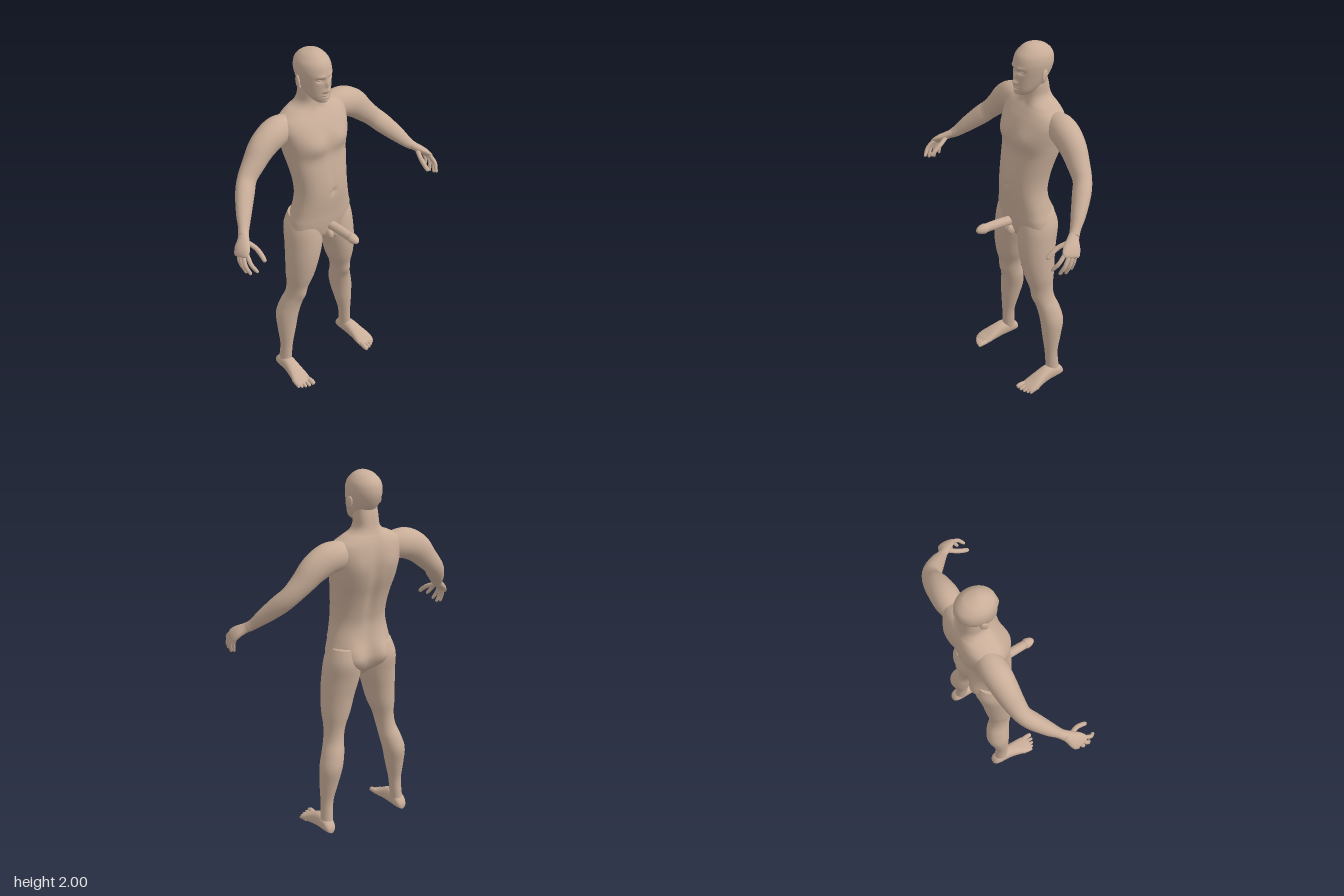
import * as THREE from 'three';

const V = (x, y, z) => new THREE.Vector3(x, y, z);
const skin = new THREE.MeshStandardMaterial({ color: 0xc9ae99 });
skin.name = 'skin';

// Smoothly interpolate rows of numbers, adding steps between neighbours
function smoothRows(rows, steps) {
  const out = [];
  const at = (i) => rows[Math.max(0, Math.min(rows.length - 1, i))];
  for (let i = 0; i < rows.length - 1; i++) {
    for (let s = 0; s < steps; s++) {
      const t = s / steps;
      out.push(rows[i].map((b, k) => {
        const a = at(i - 1)[k], c = at(i + 1)[k], d = at(i + 2)[k];
        return b + 0.5 * t * (c - a + t * (2 * a - 5 * b + 4 * c - d + t * (3 * (b - c) + d - a)));
      }));
    }
  }
  out.push(rows[rows.length - 1]);
  return out;
}

// Closed skin over rings { c, u, v }, where u x v points along the loft
function loft(rings, segs, power = 2) {
  const pos = [], idx = [];
  const bend = (w) => Math.sign(w) * Math.abs(w) ** (2 / power);
  for (const { c, u, v } of rings) {
    for (let j = 0; j < segs; j++) {
      const a = (j / segs) * Math.PI * 2;
      const p = c.clone().addScaledVector(u, bend(Math.cos(a))).addScaledVector(v, bend(Math.sin(a)));
      pos.push(p.x, p.y, p.z);
    }
  }
  const last = (rings.length - 1) * segs, first = rings[0].c, end = rings[rings.length - 1].c;
  pos.push(first.x, first.y, first.z, end.x, end.y, end.z);
  for (let j = 0; j < segs; j++) {
    const k = (j + 1) % segs;
    for (let r = 0; r < last; r += segs) {
      idx.push(r + j, r + k, r + segs + k, r + j, r + segs + k, r + segs + j);
    }
    idx.push(last + segs, k, j, last + segs + 1, last + j, last + k);
  }
  const g = new THREE.BufferGeometry();
  g.setAttribute('position', new THREE.Float32BufferAttribute(pos, 3));
  g.setIndex(idx);
  g.computeVertexNormals();
  return g;
}

// Upright form from rows [y, centre x, half width, front z, back z]
function column(rows, segs, steps, power) {
  return loft(smoothRows(rows, steps).map(([y, x, w, f, b]) => (
    { c: V(x, y, (f + b) / 2), u: V(w, 0, 0), v: V(0, 0, (b - f) / 2) })), segs, power);
}

// Limb from rows [x, y, z, radius along ref, radius across ref]
function limb(rows, ref, segs = 20, steps = 5) {
  const r = smoothRows(rows, steps), p = r.map((q) => V(q[0], q[1], q[2]));
  return loft(p.map((c, i) => {
    const t = p[Math.min(i + 1, p.length - 1)].clone().sub(p[Math.max(i - 1, 0)]).normalize();
    const u = ref.clone().addScaledVector(t, -ref.dot(t)).normalize();
    const v = t.clone().cross(u);
    return { c, u: u.multiplyScalar(r[i][3]), v: v.multiplyScalar(r[i][4]) };
  }), segs);
}

// Finger or toe with a rounded tip
function digit(points, r, ref) {
  const n = points.length, a = points[n - 2], b = points[n - 1];
  const mix = (t) => a.map((w, k) => w + (b[k] - w) * t);
  return limb([...points.slice(0, n - 1).map((q) => [...q, r, r]), [...mix(0.75), r * 0.85, r * 0.85],
    [...mix(0.93), r * 0.6, r * 0.6], [...b, r * 0.12, r * 0.12]], ref, 12, 4);
}

// Raise or sink soft spots [x, y, size x, size y, dz] on the front or back
function sculpt(g, mid, front, back = []) {
  const p = g.attributes.position;
  for (let i = 0; i < p.count; i++) {
    const x = Math.abs(p.getX(i)), y = p.getY(i), z = p.getZ(i);
    const side = THREE.MathUtils.clamp(Math.abs(z - mid) / 0.05, 0, 1);
    let dz = 0;
    for (const [bx, by, sx, sy, d] of z > mid ? front : back) {
      dz += d * Math.exp(-(((x - bx) / sx) ** 2) - ((y - by) / sy) ** 2);
    }
    p.setZ(i, z + dz * side);
  }
  g.computeVertexNormals();
  return g;
}

function mirrored(g) {
  const m = g.clone().scale(-1, 1, 1), a = m.index.array;
  for (let i = 0; i < a.length; i += 3) [a[i], a[i + 1]] = [a[i + 1], a[i]];
  m.computeVertexNormals();
  return m;
}

const ball = (x, y, z, rx, ry, rz) => new THREE.SphereGeometry(1, 24, 16).scale(rx, ry, rz).translate(x, y, z);

export function createModel() {
  const model = new THREE.Group();
  model.name = 'figure';
  const add = (name, g) => {
    const m = new THREE.Mesh(g, skin);
    m.name = name;
    model.add(m);
  };
  const pair = (name, g) => {
    add('left' + name, g);
    add('right' + name, mirrored(g));
  };

  // Torso and neck, with chest, navel, shoulder blades, spine and buttocks
  add('torso', sculpt(column([
    [0.9, 0, 0.05, 0, -0.1], [0.95, 0, 0.14, 0.03, -0.14], [1, 0, 0.188, 0.04, -0.155],
    [1.05, 0, 0.189, 0.046, -0.155], [1.1, 0, 0.176, 0.05, -0.153], [1.2, 0, 0.155, 0.059, -0.15],
    [1.28, 0, 0.153, 0.056, -0.165], [1.36, 0, 0.163, 0.044, -0.187], [1.44, 0, 0.177, 0.03, -0.215],
    [1.5, 0, 0.187, 0.027, -0.228], [1.56, 0, 0.197, 0.02, -0.234], [1.61, 0, 0.2, 0, -0.231],
    [1.65, 0, 0.183, -0.025, -0.222], [1.68, 0, 0.135, -0.045, -0.21], [1.7, 0, 0.09, -0.052, -0.2],
    [1.73, 0, 0.066, -0.057, -0.19], [1.78, 0, 0.062, -0.06, -0.18], [1.82, 0, 0.058, -0.065, -0.17],
  ], 72, 6, 2.3), -0.09,
  [[0.085, 1.515, 0.07, 0.055, 0.02], [0, 1.23, 0.014, 0.012, -0.014], [0, 1.35, 0.012, 0.12, -0.004],
    [0, 1.7, 0.015, 0.02, -0.008]],
  [[0.08, 1.02, 0.065, 0.085, -0.042], [0, 1.4, 0.025, 0.22, 0.014], [0.1, 1.53, 0.05, 0.07, -0.01]]));

  // Head with brow, sockets, nose, lips and chin
  add('head', sculpt(column([
    [1.74, 0, 0.025, -0.012, -0.06], [1.75, 0, 0.04, 0, -0.085], [1.77, 0, 0.056, 0.004, -0.12],
    [1.8, 0, 0.068, 0.005, -0.16], [1.84, 0, 0.078, 0.005, -0.19], [1.88, 0, 0.085, 0.006, -0.207],
    [1.915, 0, 0.086, 0.003, -0.21], [1.95, 0, 0.077, -0.01, -0.2], [1.98, 0, 0.053, -0.04, -0.168],
    [1.994, 0, 0.028, -0.065, -0.13], [2, 0, 0.004, -0.09, -0.1],
  ], 96, 8), -0.1,
  [[0.03, 1.893, 0.022, 0.009, 0.006], [0.032, 1.872, 0.016, 0.01, -0.013], [0, 1.845, 0.009, 0.025, 0.012],
    [0, 1.813, 0.011, 0.011, 0.016], [0.014, 1.809, 0.008, 0.008, 0.007], [0, 1.786, 0.022, 0.005, 0.007],
    [0, 1.779, 0.024, 0.003, -0.005], [0, 1.772, 0.019, 0.005, 0.006], [0, 1.75, 0.018, 0.01, 0.006]]));
  pair('Eye', ball(0.032, 1.872, -0.02, 0.012, 0.009, 0.011));
  const ear = ball(0, 0, 0, 0.009, 0.034, 0.02).rotateX(-0.2).rotateY(0.3).translate(0.09, 1.85, -0.11);
  pair('Ear', ear);
  pair('EarLobe', ball(0.088, 1.823, -0.1, 0.007, 0.011, 0.01));

  // Arms, from inside the shoulder to the wrist
  const ahead = V(0, 0, 1);
  pair('Arm', limb([
    [0.12, 1.6, -0.14, 0.05, 0.06], [0.18, 1.6, -0.14, 0.068, 0.076], [0.24, 1.59, -0.137, 0.072, 0.08],
    [0.31, 1.55, -0.133, 0.066, 0.075], [0.37, 1.49, -0.125, 0.057, 0.062], [0.43, 1.43, -0.11, 0.047, 0.053],
    [0.475, 1.38, -0.075, 0.046, 0.052], [0.53, 1.315, -0.02, 0.037, 0.042], [0.565, 1.27, 0.02, 0.027, 0.031],
    [0.59, 1.245, 0.045, 0.026, 0.024],
  ], ahead, 28));

  // Hands: palm, four curled fingers and thumb
  pair('Palm', limb([
    [0.575, 1.26, 0.03, 0.024, 0.024], [0.6, 1.238, 0.058, 0.031, 0.022], [0.63, 1.215, 0.085, 0.044, 0.02],
    [0.649, 1.193, 0.104, 0.046, 0.016], [0.653, 1.182, 0.11, 0.032, 0.008],
  ], ahead));
  [
    [[0.638, 1.205, 0.13], [0.645, 1.168, 0.168], [0.628, 1.125, 0.2]],
    [[0.648, 1.2, 0.112], [0.66, 1.152, 0.142], [0.645, 1.1, 0.166]],
    [[0.65, 1.197, 0.092], [0.66, 1.147, 0.115], [0.647, 1.092, 0.132]],
    [[0.645, 1.197, 0.072], [0.655, 1.155, 0.086], [0.648, 1.105, 0.098]],
  ].forEach((f, i) => pair('Finger' + (i + 1), digit(f, i === 3 ? 0.009 : 0.0108, V(1, 0, 0))));
  pair('Thumb', digit([[0.6, 1.232, 0.07], [0.577, 1.207, 0.122], [0.572, 1.182, 0.158], [0.572, 1.155, 0.19]],
    0.0125, V(1, 0, 0)));

  // Legs from ankle to hip, with kneecap
  pair('Leg', sculpt(column([
    [0.04, 0.235, 0.034, -0.06, -0.14], [0.12, 0.228, 0.033, -0.058, -0.133], [0.2, 0.223, 0.036, -0.055, -0.13],
    [0.3, 0.214, 0.051, -0.047, -0.15], [0.4, 0.203, 0.062, -0.04, -0.17], [0.48, 0.184, 0.06, -0.03, -0.158],
    [0.55, 0.167, 0.053, -0.013, -0.135], [0.62, 0.156, 0.057, 0.002, -0.13], [0.7, 0.143, 0.076, 0.025, -0.14],
    [0.8, 0.129, 0.089, 0.042, -0.15], [0.9, 0.113, 0.1, 0.045, -0.165], [1, 0.108, 0.095, 0.035, -0.18],
    [1.08, 0.1, 0.075, 0.015, -0.16],
  ], 36, 6), -0.07, [[0.163, 0.57, 0.028, 0.035, 0.009]]));

  // Feet, from rows of z, centre x, half width and top
  const foot = smoothRows([
    [-0.16, 0.235, 0.012, 0.045], [-0.15, 0.235, 0.026, 0.065], [-0.12, 0.235, 0.035, 0.09],
    [-0.06, 0.237, 0.037, 0.1], [0, 0.242, 0.043, 0.078], [0.05, 0.247, 0.051, 0.05],
    [0.08, 0.247, 0.047, 0.034], [0.092, 0.244, 0.038, 0.026],
  ], 5).map(([z, x, w, top]) => {
    const low = THREE.MathUtils.clamp(0.008 - z * 0.08, 0.004, 0.02);
    return { c: V(x, (top + low) / 2, z), u: V(w, 0, 0), v: V(0, (top - low) / 2, 0) };
  });
  pair('Foot', loft(foot, 28, 2.4));
  [[0.21, 0.128, 0.0145], [0.235, 0.123, 0.01], [0.256, 0.114, 0.0095], [0.274, 0.103, 0.009], [0.289, 0.09, 0.0085]]
    .forEach(([x, z, r], i) => pair('Toe' + (i + 1),
      digit([[x * 0.9 + 0.024, 0.02, z - 0.06], [x, 0.019, z - 0.025], [x, r, z]], r, V(1, 0, 0))));

  // Anatomy
  add('genitalShaft', limb([
    [0, 1, 0.01, 0.026, 0.026], [0, 1.002, 0.06, 0.025, 0.025], [0, 1.005, 0.13, 0.025, 0.025],
    [0, 1.005, 0.185, 0.024, 0.024], [0, 1.005, 0.197, 0.028, 0.027], [0, 1.004, 0.22, 0.024, 0.022],
    [0, 1.003, 0.238, 0.014, 0.013], [0, 1.003, 0.245, 0.002, 0.002],
  ], V(1, 0, 0)));
  pair('Testicle', ball(0.014, 0.95, 0.04, 0.019, 0.032, 0.026));
  return model;
}
